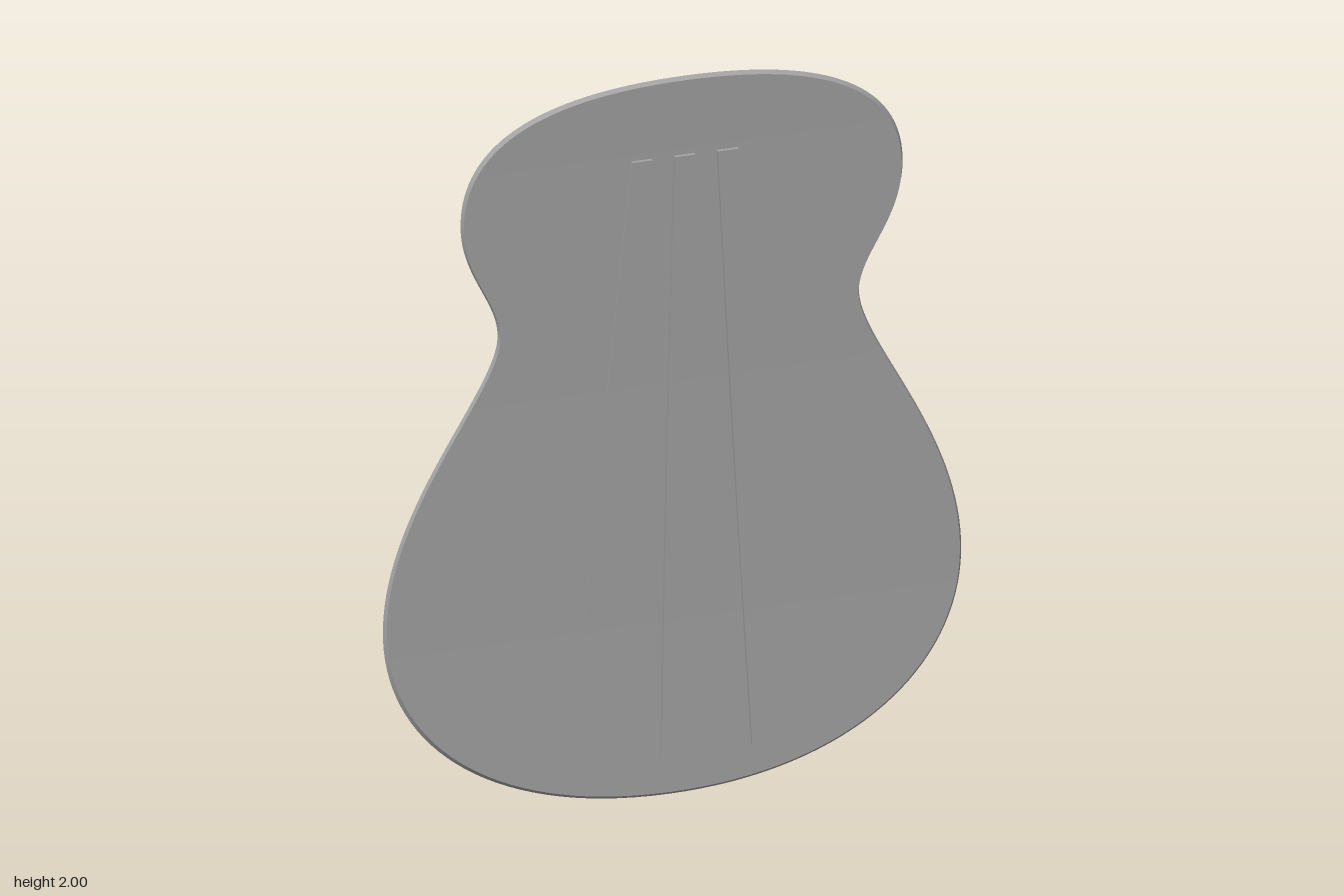
import * as THREE from 'three';

const material = new THREE.MeshStandardMaterial({ color: 0xa3a3a3 });
const THICK = 0.01;

// Depth of the plate's rear face: tilted, gently bowed along its height
const bow = (y) => -0.017 + 0.062 * (y - 1) + 0.012 * (y - 1) ** 2;

// Bowed slab from rows [xLeft, xRight, y], bottom to top; taper shrinks the front face.
// Each face has its own vertices, so edges stay sharp and faces stay smooth.
function bowedSlab(name, rows, back, front, taper = 1) {
  const position = [], index = [];
  const strip = (pairs) => {
    const start = position.length / 3;
    pairs.forEach(([l, r], i) => {
      position.push(...l, ...r);
      if (i === 0) return;
      const a = start + 2 * (i - 1);
      index.push(a, a + 1, a + 3, a, a + 3, a + 2);
    });
  };
  const loops = rows.map(([xl, xr, y]) => {
    const yf = 1 + (y - 1) * taper;
    const zb = bow(y) + back, zf = bow(yf) + front;
    return [[xl, y, zb], [xr, y, zb], [xr * taper, yf, zf], [xl * taper, yf, zf]];
  });
  // front, right, back and left faces
  for (const [l, r] of [[3, 2], [2, 1], [1, 0], [0, 3]]) strip(loops.map((p) => [p[l], p[r]]));
  // bottom and top ends
  const b = loops[0], t = loops[loops.length - 1];
  strip([[b[0], b[1]], [b[3], b[2]]]);
  strip([[t[3], t[2]], [t[0], t[1]]]);

  const geometry = new THREE.BufferGeometry();
  geometry.setAttribute('position', new THREE.Float32BufferAttribute(position, 3));
  geometry.setIndex(index);
  geometry.computeVertexNormals();
  const mesh = new THREE.Mesh(geometry, material);
  mesh.name = name;
  return mesh;
}

export function createModel() {
  const group = new THREE.Group();
  group.name = 'guitarBack';

  // Half outline: lower bout, waist, upper bout
  const outline = new THREE.Path();
  outline.moveTo(0, 0.003);
  outline.bezierCurveTo(0.49, 0.003, 0.768, 0.25, 0.768, 0.565);
  outline.bezierCurveTo(0.768, 0.9, 0.48, 1.19, 0.48, 1.335);
  outline.bezierCurveTo(0.48, 1.44, 0.587, 1.52, 0.587, 1.67);
  outline.bezierCurveTo(0.587, 1.87, 0.42, 2, 0, 2);
  const plateRows = outline.getPoints(32).map((p) => [-p.x, p.x, p.y]);
  // The rim slopes inwards towards the braced face
  group.add(bowedSlab('backPlate', plateRows, 0, THICK, 0.991));

  // Three braces on the inner face, fanning out towards the bottom
  const names = { '-1': 'rightBrace', 0: 'centreBrace', 1: 'leftBrace' };
  for (const side of [-1, 0, 1]) {
    const rows = [];
    for (let i = 0; i <= 24; i++) {
      const t = i / 24;
      const x = side * THREE.MathUtils.lerp(0.241, 0.114, t);
      rows.push([x - 0.0275, x + 0.0275, THREE.MathUtils.lerp(0.115, 1.783, t)]);
    }
    group.add(bowedSlab(names[side], rows, THICK * 0.5, THICK + 0.011));
  }
  return group;
}
